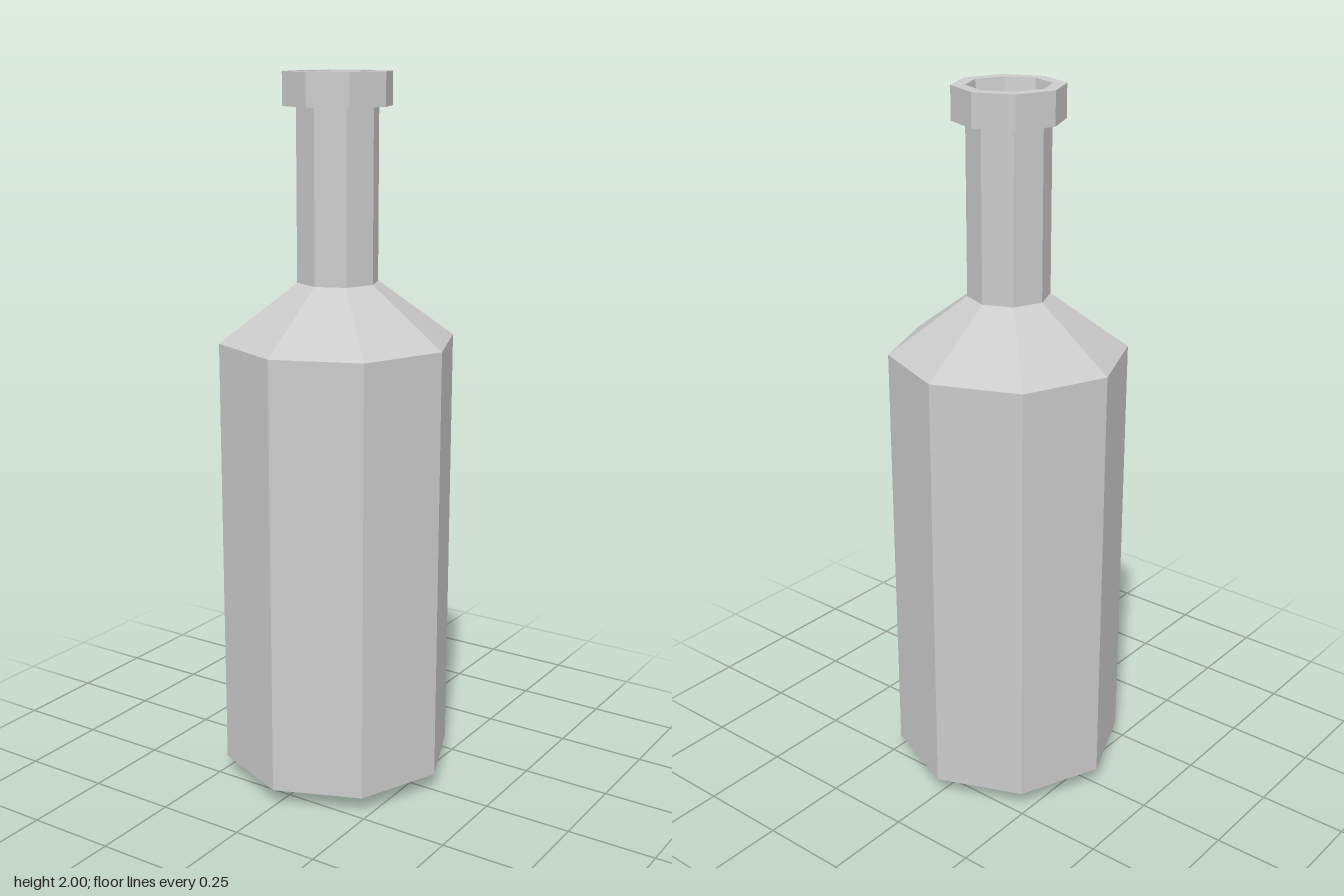
import * as THREE from 'three';

const SIDES = 8;

export function createModel() {
  const group = new THREE.Group();
  const material = new THREE.MeshStandardMaterial({ color: 0xcccccc, flatShading: true });

  // Revolves a [radius, height] profile, listed from bottom to top outside
  const addTurned = (name, profile) => {
    const points = profile.map(([r, y]) => new THREE.Vector2(r, y));
    const mesh = new THREE.Mesh(new THREE.LatheGeometry(points, SIDES), material);
    mesh.name = name;
    group.add(mesh);
  };

  // Flat base with a wide bevel, straight walls
  addTurned('body', [[0, 0], [0.165, 0], [0.33, 0.05], [0.33, 1.28]]);

  // Sloping shoulder
  addTurned('shoulder', [[0.33, 1.28], [0.113, 1.44]]);

  // Straight neck
  addTurned('neck', [[0.113, 1.44], [0.113, 1.91]]);

  // Collar around the mouth, with a shallow tapered recess
  addTurned('lip', [[0.113, 1.91], [0.15, 1.91], [0.15, 2], [0.113, 2], [0.105, 1.94]]);

  // Closed floor inside the mouth
  addTurned('mouthFloor', [[0.105, 1.94], [0, 1.94]]);

  return group;
}
